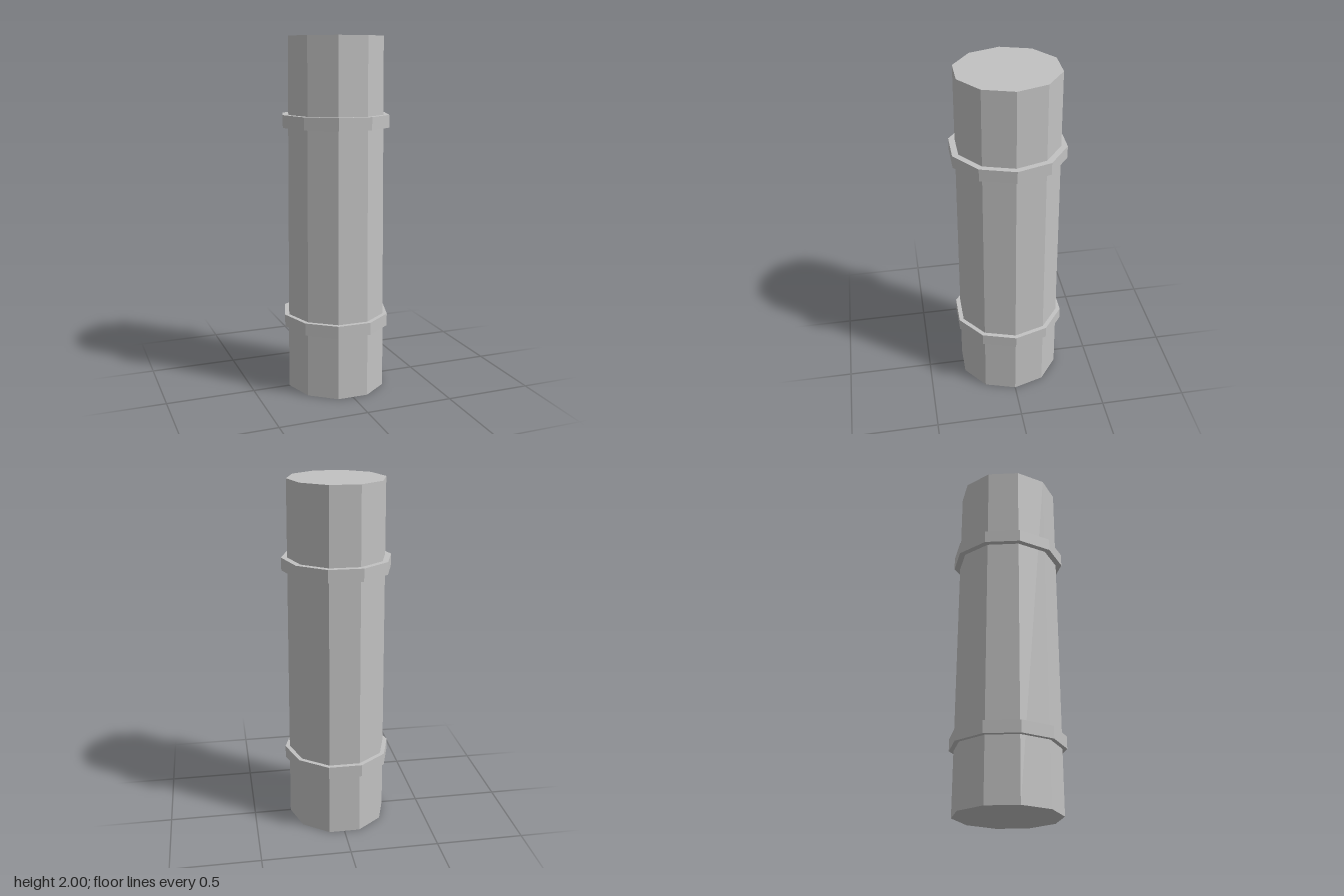
import * as THREE from 'three';

const SIDES = 10;
const DEPTH = 1.055; // the decagon is stretched so its flat-to-flat depth matches its width

export function createModel() {
  const group = new THREE.Group();
  group.name = 'column';
  const stone = new THREE.MeshStandardMaterial({ color: 0xc2c2c2, flatShading: true });
  stone.name = 'grey stone';

  // Ten-sided section with corners on the x axis
  const addSection = (name, topRadius, bottomRadius, y0, y1) => {
    const geometry = new THREE.CylinderGeometry(
      topRadius, bottomRadius, y1 - y0, SIDES, 1, false, Math.PI / 2);
    geometry.scale(1, 1, DEPTH);
    const mesh = new THREE.Mesh(geometry, stone);
    mesh.name = name;
    mesh.position.y = (y0 + y1) / 2;
    group.add(mesh);
  };

  // Slightly tapered shaft
  addSection('shaft', 0.27, 0.284, 0, 2);

  // Raised bands
  addSection('lowerBand', 0.306, 0.306, 0.365, 0.435);
  addSection('upperBand', 0.306, 0.306, 1.505, 1.575);

  return group;
}
